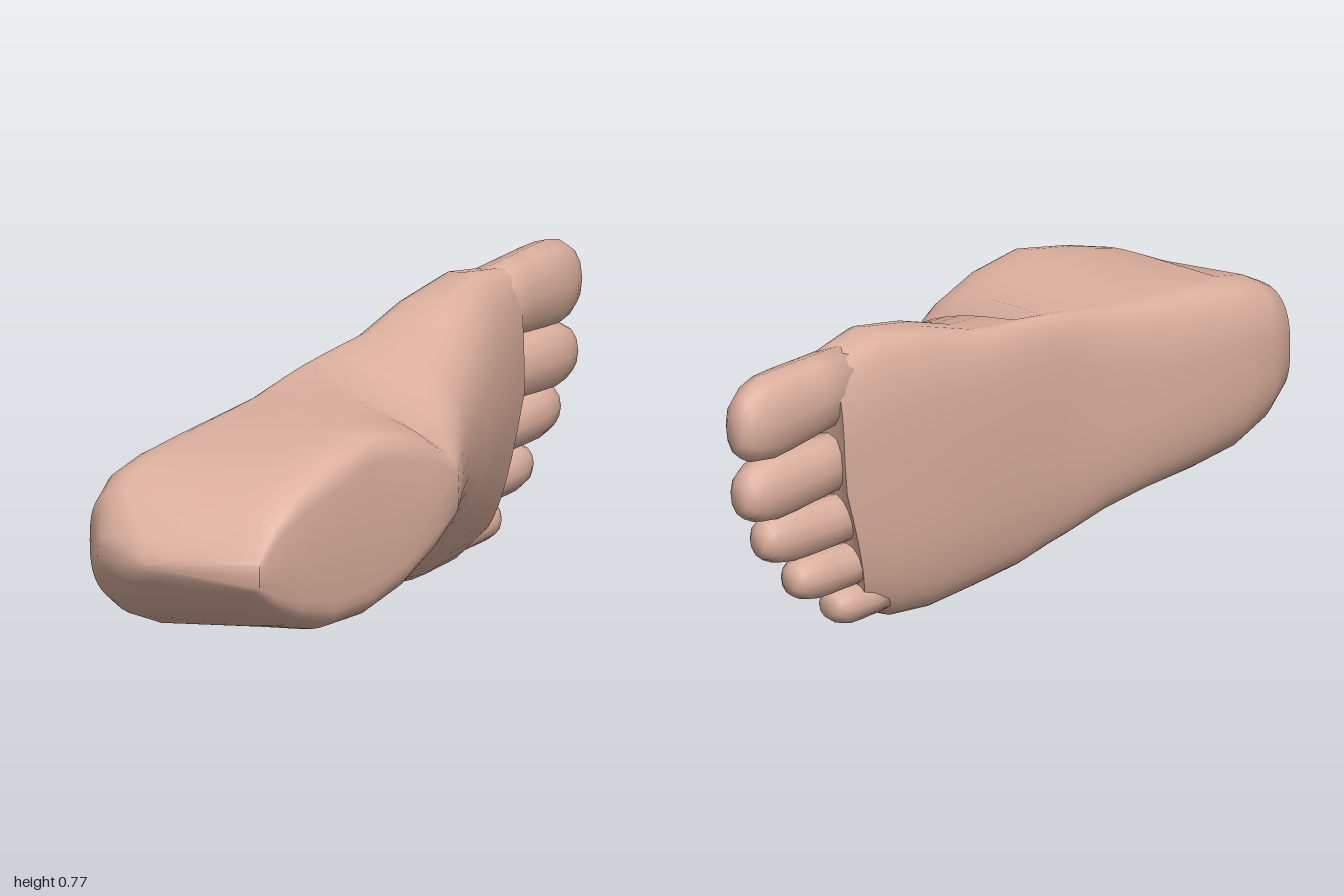
import * as THREE from 'three';
import { toCreasedNormals } from 'three/addons/utils/BufferGeometryUtils.js';

// Skin a list of closed rings (arrays of Vector3, running y -> z, stacked towards +x), capping both ends
function loft(rings) {
  const n = rings[0].length, pos = [], idx = [];
  const push = p => pos.push(p.x, p.y, p.z);
  rings.forEach(r => r.forEach(push));
  for (let i = 0; i < rings.length - 1; i++) {
    for (let j = 0; j < n; j++) {
      const a = i * n + j, b = i * n + (j + 1) % n;
      idx.push(a, b, a + n, b, b + n, a + n);
    }
  }
  const last = rings.length - 1;
  for (const k of [0, last]) {
    const centre = new THREE.Vector3();
    rings[k].forEach(p => centre.addScaledVector(p, 1 / n));
    const c = pos.length / 3;
    push(centre);
    for (let j = 0; j < n; j++) {
      const a = k * n + j, b = k * n + (j + 1) % n;
      if (k === 0) idx.push(c, b, a); else idx.push(c, a, b);
    }
  }
  const g = new THREE.BufferGeometry();
  g.setAttribute('position', new THREE.Float32BufferAttribute(pos, 3));
  g.setIndex(idx);
  g.computeVertexNormals();
  return g;
}

const power = (v, n) => Math.sign(v) * Math.abs(v) ** (2 / n);
const lerp = THREE.MathUtils.lerp;

// Foot sections: x, sole z, upper z, low y and high y at the sole,
// low y and high y at the upper end, squareness of the upper end
const SECTIONS = [
  [-1.0, -0.07, 0.00, 0.39, 0.43, 0.40, 0.42, 2],
  [-0.98, -0.17, 0.07, 0.35, 0.47, 0.39, 0.44, 3],
  [-0.91, -0.25, 0.292, 0.26, 0.555, 0.37, 0.46, 8],
  [-0.84, -0.275, 0.295, 0.21, 0.59, 0.30, 0.54, 8],
  [-0.74, -0.28, 0.295, 0.165, 0.61, 0.24, 0.60, 8],
  [-0.6, -0.28, 0.292, 0.145, 0.62, 0.188, 0.645, 8],
  [-0.44, -0.27, 0.285, 0.13, 0.63, 0.18, 0.68, 8],
  [-0.3, -0.258, 0.288, 0.108, 0.64, 0.215, 0.655, 7],
  [-0.18, -0.255, 0.288, 0.08, 0.66, 0.28, 0.60, 6],
  [-0.1, -0.26, 0.283, 0.065, 0.67, 0.34, 0.54, 5],
  [0.0, -0.268, 0.22, 0.04, 0.68, 0.28, 0.62, 3],
  [0.15, -0.285, 0.12, 0.022, 0.69, 0.18, 0.69, 2.4],
  [0.32, -0.297, 0.035, 0.004, 0.738, 0.11, 0.77, 2.2],
  [0.5, -0.3, -0.042, 0.012, 0.765, 0.09, 0.82, 2.2],
  [0.67, -0.29, -0.12, 0.055, 0.735, 0.08, 0.76, 3],
];

function footGeometry() {
  const N = 40;
  const rings = SECTIONS.map(([x, zs, zf, lo, hi, loF, hiF, nf]) => {
    // the widest level sinks towards the sole from heel to ball
    const zm = Math.max(-0.2, -0.03 - 1.1 * (x + 1), -0.15 - 0.07 * (x + 0.84));
    return Array.from({ length: N }, (_, j) => {
      const a = j / N * Math.PI * 2, c = Math.cos(a), s = Math.sin(a);
      const n = s > 0 ? nf : 2.7;
      const rise = power(s, n), up = Math.max(0, rise);
      const y = lerp(lerp(lo, loF, up), lerp(hi, hiF, up), (1 + power(c, n)) / 2);
      const z = zm + rise * (s > 0 ? zf - zm : zm - zs);
      // the ball of the foot falls back towards the little toe
      const back = Math.max(0, x - 0.4) / 0.27 * Math.max(0, 0.42 - y) * 0.3;
      return new THREE.Vector3(x - back, y, z);
    });
  });
  return toCreasedNormals(loft(rings), 1.1);
}

// Toe profile: fraction of length, fraction of radius
const TOE = [[0, 0.85], [0.3, 0.92], [0.55, 0.98], [0.72, 1], [0.86, 0.9], [0.95, 0.7], [1, 0.42]];

// Toe from x0 to x1; (y, z) is the tip, dy shifts the root, rise thickens the root upwards
function toeGeometry({ x0, x1, y, z, ry, rz, dy, rise }) {
  const N = 12;
  return loft(TOE.map(([t, r]) => Array.from({ length: N }, (_, j) => {
    const a = j / N * Math.PI * 2, lift = rise * (1 - t);
    return new THREE.Vector3(
      lerp(x0, x1, t),
      y + dy * (1 - t) + ry * r * power(Math.cos(a), 2.2),
      z + lift - 0.012 * t + (rz * r + lift / 2) * power(Math.sin(a), 2.2));
  })));
}

const TOES = {
  bigToe: { x0: 0.6, x1: 1.0, y: 0.63, z: -0.222, ry: 0.112, rz: 0.07, dy: 0.025, rise: 0.03 },
  secondToe: { x0: 0.6, x1: 0.98, y: 0.446, z: -0.217, ry: 0.086, rz: 0.068, dy: 0.015, rise: 0.015 },
  thirdToe: { x0: 0.56, x1: 0.92, y: 0.316, z: -0.222, ry: 0.07, rz: 0.063, dy: -0.01, rise: 0.015 },
  fourthToe: { x0: 0.53, x1: 0.815, y: 0.19, z: -0.226, ry: 0.06, rz: 0.06, dy: -0.01, rise: 0.015 },
  littleToe: { x0: 0.48, x1: 0.67, y: 0.086, z: -0.217, ry: 0.05, rz: 0.06, dy: -0.01, rise: 0.01 },
};

export function createModel() {
  const group = new THREE.Group();
  const skin = new THREE.MeshStandardMaterial({ color: 0xdcb09e });
  const add = (name, geometry) => {
    const mesh = new THREE.Mesh(geometry, skin);
    mesh.name = name;
    group.add(mesh);
  };
  // heel, ankle, instep and ball in one skin
  add('foot', footGeometry());
  for (const [name, spec] of Object.entries(TOES)) add(name, toeGeometry(spec));
  return group;
}
